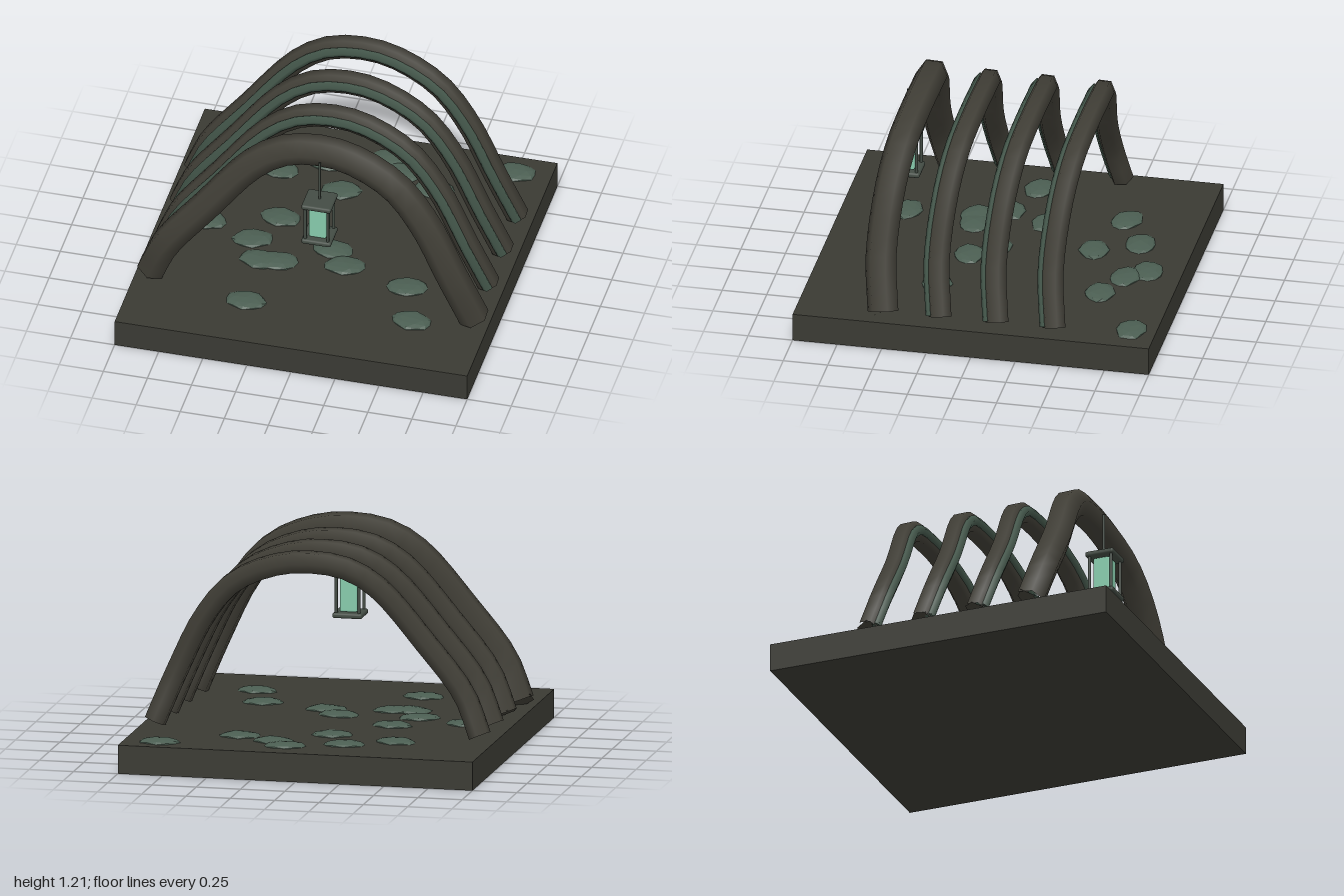
import * as THREE from 'three';
import { RoundedBoxGeometry } from 'three/addons/geometries/RoundedBoxGeometry.js';

const mat = (name, color, extra = {}) => {
  const m = new THREE.MeshStandardMaterial({ color, ...extra });
  m.name = name;
  return m;
};

export function createModel() {
  const earth = mat('dark earth', 0x3a3a33);
  const rib = mat('weathered rib', 0x403e36);
  const moss = mat('moss', 0x43564a);
  const stone = mat('stone', 0x4b5e52, { flatShading: true });
  const iron = mat('lantern iron', 0x434c44);
  const glow = mat('lantern glow', 0x86caab);

  const model = new THREE.Group();
  const add = (parent, name, geometry, material, x = 0, y = 0, z = 0) => {
    const mesh = new THREE.Mesh(geometry, material);
    mesh.name = name;
    mesh.position.set(x, y, z);
    parent.add(mesh);
    return mesh;
  };

  // Ground slab
  add(model, 'ground', new THREE.BoxGeometry(2, 0.16, 2), earth, 0, 0.08, 0);

  // Arch centre line, z measured from the crown
  const path = [
    [-0.915, 0.19, 0.055], [-0.82, 0.41, 0.088], [-0.605, 0.69, 0.08],
    [-0.345, 1.0, 0.035], [-0.18, 1.102, 0.01], [0, 1.133, 0], [0.2, 1.115, 0.01],
    [0.46, 1.0, 0.045], [0.635, 0.8, 0.075], [0.8, 0.47, 0.09], [0.915, 0.19, 0.055],
  ].map((p) => new THREE.Vector3(...p));
  const curve = new THREE.CatmullRomCurve3(path);

  // Tube with closed ends
  const closedTube = (parent, name, line, radius, sides, material) => {
    add(parent, name, new THREE.TubeGeometry(line, 28, radius, sides), material);
    for (const t of [0, 1]) {
      const p = line.getPointAt(t);
      const out = line.getTangentAt(t).multiplyScalar(t ? 1 : -1);
      const cap = add(parent, name + 'End', new THREE.CircleGeometry(radius, sides), material, p.x, p.y, p.z);
      cap.lookAt(p.clone().add(out));
    }
  };

  // Four arches, the front one thicker, each with a mossy strip on its front
  const mossCurve = new THREE.CatmullRomCurve3(
    path.map((p) => p.clone().add(new THREE.Vector3(p.x * 0.008, 0.004, 0.05))));
  for (let i = 0; i < 4; i++) {
    const arch = new THREE.Group();
    arch.name = 'arch';
    arch.position.z = 0.455 - i * 0.32;
    closedTube(arch, 'archRib', curve, i ? 0.065 : 0.087, 6, rib);
    closedTube(arch, 'mossStrip', mossCurve, 0.03, 5, moss);
    model.add(arch);
  }

  // Hanging lantern
  const lantern = new THREE.Group();
  lantern.name = 'lantern';
  lantern.position.set(0.048, 0, 0.555);
  model.add(lantern);
  add(lantern, 'cord', new THREE.CylinderGeometry(0.007, 0.007, 0.25, 6), iron, 0, 0.995, -0.005);
  for (const y of [0.627, 0.86]) {
    add(lantern, 'lanternPlate', new RoundedBoxGeometry(0.168, 0.03, 0.168, 2, 0.012), iron, 0, y, 0);
  }
  for (const x of [-1, 1]) for (const z of [-1, 1]) {
    add(lantern, 'lanternPost', new THREE.CylinderGeometry(0.009, 0.009, 0.22, 6), iron, x * 0.064, 0.743, z * 0.064);
  }
  add(lantern, 'lanternGlass', new RoundedBoxGeometry(0.098, 0.2, 0.098, 2, 0.01), glow, 0, 0.743, 0);

  // Flat stones scattered on the path: x, z
  const spots = [
    [0.8, -0.86], [0.1, -0.81], [0.19, -0.7], [-0.21, -0.7], [0.4, -0.6], [-0.47, -0.57],
    [-0.09, -0.465], [-0.35, -0.145], [-0.74, -0.025], [-0.45, 0.08], [0, 0.065],
    [0.1, 0.195], [-0.27, 0.245], [-0.37, 0.255], [0.48, 0.3], [-0.35, 0.635], [0.58, 0.59],
  ];
  spots.forEach(([x, z], i) => {
    const geo = new THREE.IcosahedronGeometry(1, 1);
    const pos = geo.attributes.position;
    const v = new THREE.Vector3();
    for (let k = 0; k < pos.count; k++) {
      v.fromBufferAttribute(pos, k);
      // Uneven outline from a repeatable wobble
      v.multiplyScalar(1 + 0.07 * Math.sin(v.x * 5 + i * 1.7) * Math.cos(v.z * 4 + i));
      pos.setXYZ(k, v.x * 0.115, v.y * 0.024, v.z * 0.085);
    }
    geo.computeVertexNormals();
    add(model, 'pathStone', geo, stone, x, 0.16, z).rotation.y = 0.2 * Math.sin(i * 2.3);
  });

  return model;
}
